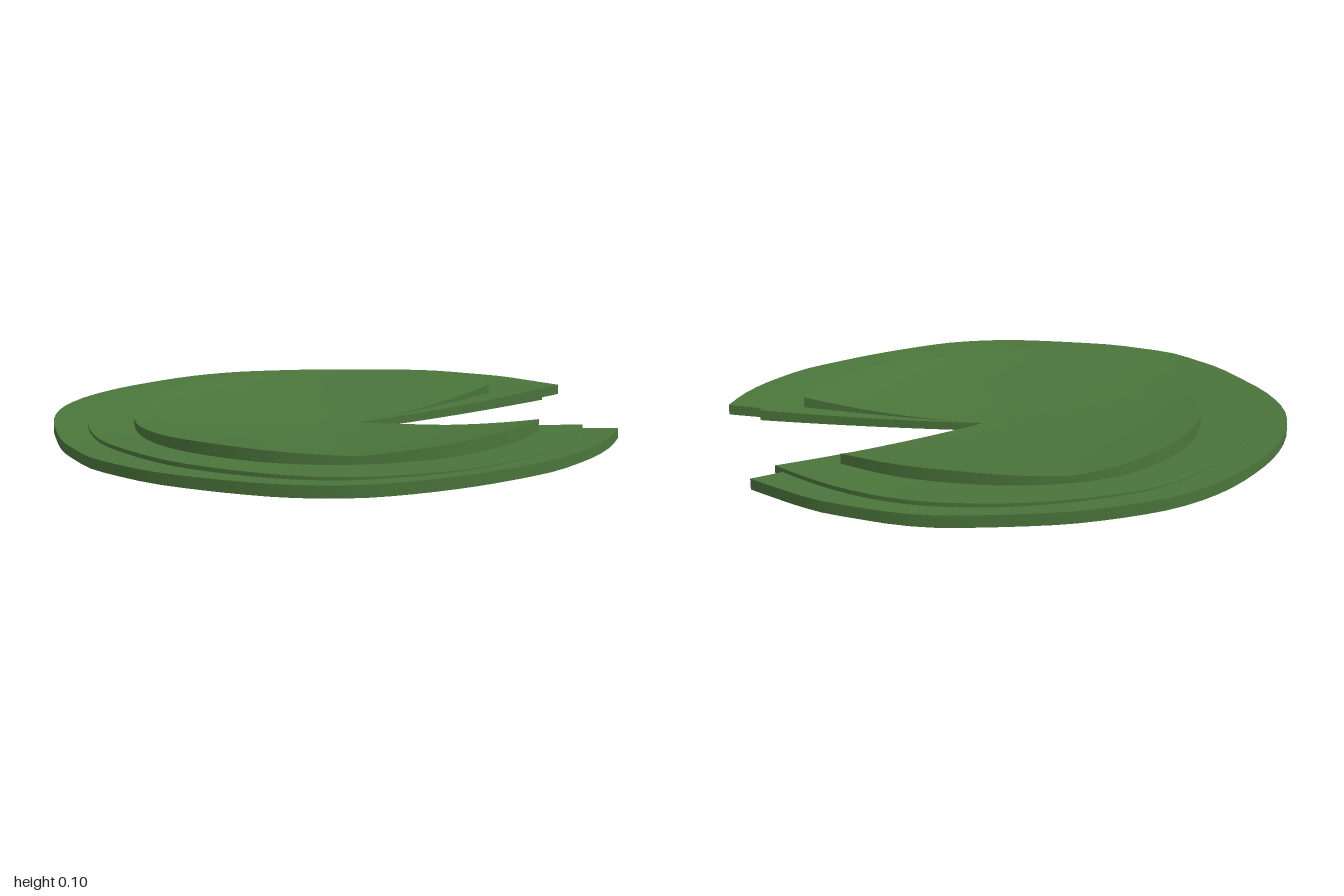
import * as THREE from 'three';
import { mergeGeometries } from 'three/addons/utils/BufferGeometryUtils.js';

// All layers share the point where the notch ends
const APEX = [0.105, -0.012];

// Outlines as x, z pairs, from the back notch corner round to the front one
const OUTER = [
  1, -0.39, 0.84, -0.6, 0.72, -0.7, 0.6, -0.785, 0.46, -0.845, 0.165, -0.91, 0.03, -0.925,
  -0.12, -0.925, -0.265, -0.91, -0.41, -0.865, -0.535, -0.8, -0.655, -0.715, -0.76, -0.625,
  -0.86, -0.51, -0.93, -0.395, -0.98, -0.26, -1, -0.085, -0.985, 0.085, -0.96, 0.245,
  -0.915, 0.37, -0.86, 0.49, -0.765, 0.595, -0.665, 0.685, -0.535, 0.765, -0.4, 0.835,
  -0.265, 0.89, -0.115, 0.92, 0.045, 0.92, 0.32, 0.86, 0.6, 0.75, 0.72, 0.67, 0.82, 0.585,
  0.91, 0.48, 0.98, 0.365,
];
const MIDDLE = [
  0.908, -0.31, 0.8, -0.48, 0.68, -0.62, 0.55, -0.72, 0.4, -0.785, 0.22, -0.83, 0, -0.845,
  -0.25, -0.82, -0.48, -0.71, -0.68, -0.54, -0.81, -0.34, -0.87, -0.1, -0.87, 0.08, -0.83, 0.27,
  -0.74, 0.43, -0.6, 0.6, -0.4, 0.74, -0.2, 0.83, 0, 0.855, 0.28, 0.81, 0.5, 0.72, 0.7, 0.56,
  0.81, 0.41, 0.877, 0.28,
];
const INNER = [
  0.69, -0.32, 0.55, -0.47, 0.4, -0.57, 0.2, -0.66, 0, -0.695, -0.1, -0.69, -0.22, -0.665,
  -0.4, -0.57, -0.55, -0.43, -0.64, -0.28, -0.7, -0.1, -0.71, 0.03, -0.68, 0.22, -0.58, 0.4,
  -0.38, 0.56, -0.2, 0.635, 0, 0.66, 0.2, 0.64, 0.4, 0.57, 0.6, 0.43, 0.71, 0.295,
];

// Smooth sheet through rows of points
function sheet(rows) {
  const n = rows[0].length;
  const index = [];
  for (let r = 0; r < rows.length - 1; r++) {
    for (let i = 0; i < n - 1; i++) {
      const a = r * n + i, b = a + n;
      index.push(a, b, b + 1, a, b + 1, a + 1);
    }
  }
  const geo = new THREE.BufferGeometry();
  geo.setAttribute('position', new THREE.Float32BufferAttribute(rows.flat(2), 3));
  geo.setIndex(index);
  geo.computeVertexNormals();
  return geo;
}

// Notched slab between two height rules y(x, z, t), t running from apex to rim
function layer(outline, topY, bottomY, steps = 12, sides = 72) {
  const knots = [];
  for (let i = 0; i < outline.length; i += 2) {
    knots.push(new THREE.Vector2(outline[i], outline[i + 1]));
  }
  const rim = new THREE.SplineCurve(knots).getSpacedPoints(sides);
  const rings = (height) => Array.from({ length: steps + 1 }, (_, s) => {
    const t = s / steps;
    return rim.map((p) => {
      const x = THREE.MathUtils.lerp(APEX[0], p.x, t);
      const z = THREE.MathUtils.lerp(APEX[1], p.y, t);
      return [x, height(x, z, t), z];
    });
  });
  const top = rings(topY), bottom = rings(bottomY);
  const edge = (rows, i) => rows.map((ring) => ring[i]);
  return mergeGeometries([
    sheet(top),
    sheet(bottom.map((ring) => [...ring].reverse())),
    sheet([top[steps], bottom[steps]]), // rim
    sheet([edge(top, 0), edge(bottom, 0)]), // notch walls
    sheet([edge(top, sides).reverse(), edge(bottom, sides).reverse()]),
  ]);
}

// Shallow bowls shared by the layers, and a wave running twice round the rim
const bowlTop = (x, z) => 0.03 + 0.034 * x * x + 0.031 * z * z;
const bowlBottom = (x, z) => 0.028 * x * x + 0.017 * z * z;
const wave = (x, z) => Math.sin(2 * Math.atan2(z, x));

export function createModel() {
  const leafGreen = new THREE.MeshStandardMaterial({ color: 0x4b753b });
  leafGreen.name = 'leafGreen';
  const pad = new THREE.Group();
  pad.name = 'lilyPad';

  const add = (name, geometry) => {
    const mesh = new THREE.Mesh(geometry, leafGreen);
    mesh.name = name;
    pad.add(mesh);
  };

  // Bowl-shaped base leaf
  add('outerLeaf', layer(OUTER, bowlTop, bowlBottom));

  // Step on top of it, fading out on two sides
  add('middleLeaf', layer(MIDDLE,
    (x, z, t) => bowlTop(x, z) + 0.001 + t * t * (0.008 - 0.006 * wave(x, z)),
    (x, z) => bowlBottom(x, z) + 0.002));

  // Steeper inner bowl with a gently waving rim
  add('innerLeaf', layer(INNER,
    (x, z, t) => 0.032 + t * t * (0.045 + 0.022 * Math.abs(wave(x, z))),
    (x, z) => bowlBottom(x, z) + 0.004));

  return pad;
}
